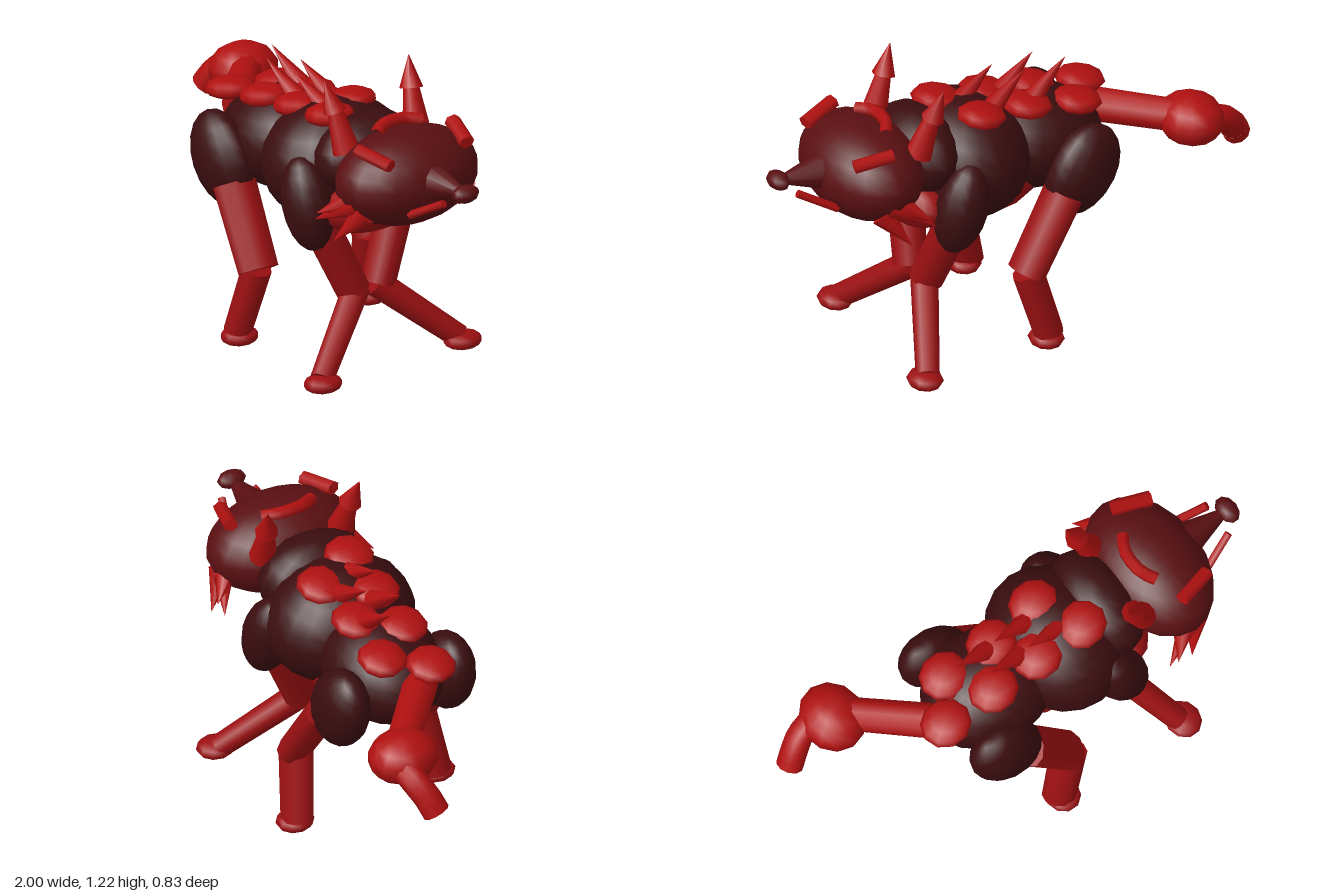
import * as THREE from 'three';

const V = (p) => new THREE.Vector3(...p);
const UP = new THREE.Vector3(0, 1, 0);
const mat = (name, color) => {
  const m = new THREE.MeshStandardMaterial({ color });
  m.name = name;
  return m;
};

export function createModel() {
  const root = new THREE.Group();
  root.name = 'beast';
  const bright = mat('bright red', 0xb01010);
  const deep = mat('deep red', 0x9c1012);
  const maroon = mat('maroon', 0x5a0f12);
  const dark = mat('dark brown red', 0x3b0d0f);

  const add = (name, geometry, material) => {
    const mesh = new THREE.Mesh(geometry, material);
    mesh.name = name;
    root.add(mesh);
    return mesh;
  };

  // Stretched ball, tilted about z
  const ball = (name, m, pos, radii, tilt = 0, seg = 16) => {
    const mesh = add(name, new THREE.SphereGeometry(1, seg, Math.max(6, seg * 0.65 | 0)), m);
    mesh.position.set(...pos);
    mesh.scale.set(...radii);
    mesh.rotation.z = tilt;
    return mesh;
  };

  // Tapered rod from a to b; zScale widens its cross-section sideways
  const rod = (name, m, a, b, ra, rb = ra, zScale = 1, sides = 10) => {
    const dir = V(b).sub(V(a));
    const g = new THREE.CylinderGeometry(rb, ra, dir.length(), sides);
    g.scale(1, 1, zScale);
    const mesh = add(name, g, m);
    mesh.position.copy(V(a).add(V(b)).multiplyScalar(0.5));
    mesh.quaternion.setFromUnitVectors(UP, dir.normalize());
    return mesh;
  };
  const spike = (name, a, b, r, sides = 8) => rod(name, bright, a, b, r, 0, 1, sides);

  // Torso
  ball('chest', dark, [0.14, 0.77, 0], [0.26, 0.245, 0.305], 0.1, 20);
  ball('hindBody', dark, [-0.18, 0.75, 0], [0.28, 0.2, 0.23], 0.1, 20);
  ball('neck', dark, [0.34, 0.86, 0], [0.15, 0.165, 0.235], 0.2);
  ball('belly', deep, [0.06, 0.64, 0], [0.25, 0.125, 0.2]);
  ball('throat', deep, [0.38, 0.67, 0], [0.115, 0.115, 0.23]);

  // Head, muzzle and nose
  ball('head', maroon, [0.585, 0.855, 0], [0.215, 0.188, 0.31], 0, 20);
  rod('muzzle', maroon, [0.74, 0.88, 0], [0.94, 0.897, 0], 0.08, 0.018);
  ball('nose', maroon, [0.955, 0.9, 0], [0.042, 0.035, 0.06], 0, 10);

  // Curved crest across the top of the head
  const crest = new THREE.CatmullRomCurve3([
    [0.54, 1.035, -0.11], [0.505, 1.05, -0.05], [0.505, 1.05, 0.05], [0.54, 1.035, 0.11],
  ].map(V));
  add('headCrest', new THREE.TubeGeometry(crest, 6, 0.026, 6), bright);

  for (const s of [1, -1]) {
    const side = s > 0 ? 'left' : 'right';
    const p = (x, y, z) => [x, y, z * s];

    // Ear: stem with a flared pointed tip
    rod(side + 'EarStem', bright, p(0.43, 0.94, 0.17), p(0.374, 1.105, 0.186), 0.055, 0.03);
    spike(side + 'EarTip', p(0.376, 1.095, 0.186), p(0.335, 1.217, 0.205), 0.047);

    // Face details
    rod(side + 'Brow', bright, p(0.575, 1.015, 0.23), p(0.725, 0.985, 0.185), 0.026, 0.026, 1.2, 6);
    rod(side + 'Tusk', bright, p(0.76, 0.775, 0.12), p(0.91, 0.862, 0.07), 0.017, 0.017, 1, 6);
    spike(side + 'CheekSpike', p(0.6, 0.8, 0.25), p(0.44, 0.705, 0.335), 0.05);
    spike(side + 'CheekSpike', p(0.63, 0.77, 0.24), p(0.55, 0.65, 0.33), 0.05);
    spike(side + 'CheekSpike', p(0.56, 0.8, 0.26), p(0.47, 0.745, 0.35), 0.045);

    // Front leg: knee turned in, foot splayed out
    ball(side + 'Shoulder', dark, p(0.275, 0.69, 0.24), [0.105, 0.19, 0.1], 0.28);
    rod(side + 'FrontUpperLeg', deep, p(0.28, 0.62, 0.2), p(0.33, 0.29, 0.06), 0.074, 0.068);
    rod(side + 'FrontLowerLeg', deep, p(0.33, 0.3, 0.045), p(0.485, 0.045, 0.335), 0.055, 0.047);
    ball(side + 'FrontFoot', deep, p(0.5, 0.037, 0.34), [0.07, 0.035, 0.08], 0, 10);

    // Hind leg
    ball(side + 'Hip', dark, p(-0.265, 0.69, 0.235), [0.145, 0.195, 0.1], 0.5);
    rod(side + 'HindUpperLeg', deep, p(-0.17, 0.62, 0.25), p(0.012, 0.325, 0.275), 0.064, 0.06, 1.4);
    rod(side + 'HindLowerLeg', deep, p(0.005, 0.335, 0.275), p(-0.07, 0.045, 0.315), 0.058, 0.054, 1.25);
    ball(side + 'HindFoot', deep, p(-0.055, 0.037, 0.315), [0.07, 0.035, 0.078], 0, 10);
  }

  // Overlapping back plates, climbing towards the shoulders
  [
    [-0.43, 0.885, 0.07], [-0.325, 0.905, -0.085], [-0.21, 0.93, 0.075], [-0.11, 0.945, -0.075],
    [0.0, 0.965, 0.075], [0.11, 0.98, -0.1], [0.205, 0.995, 0.08],
  ].forEach((pos) => ball('backPlate', bright, pos, [0.102, 0.042, 0.098], 0.14, 10));

  // Back spikes raked towards the tail
  for (let i = 0; i < 4; i++) {
    const x = -0.305 + i * 0.09, z = i % 2 ? 0.045 : -0.05;
    spike('backSpike', [x + 0.16, 0.955 + i * 0.008, z - 0.01], [x, 1.08, z + 0.015], 0.042);
  }

  // Tail: stalk, swollen joint and drooping tip
  rod('tailBase', bright, [-0.42, 0.8, 0.03], [-0.7, 0.785, -0.22], 0.07, 0.066);
  ball('tailJoint', bright, [-0.745, 0.772, -0.24], [0.128, 0.1, 0.143], 0, 12);
  const tip = new THREE.CatmullRomCurve3([
    [-0.78, 0.78, -0.28], [-0.875, 0.74, -0.265], [-0.925, 0.69, -0.24], [-0.96, 0.632, -0.22],
  ].map(V));
  add('tailTip', new THREE.TubeGeometry(tip, 8, 0.054, 10), bright);
  rod('tailEnd', bright, [-0.94, 0.665, -0.231], [-0.961, 0.63, -0.219], 0.054);

  return root;
}
